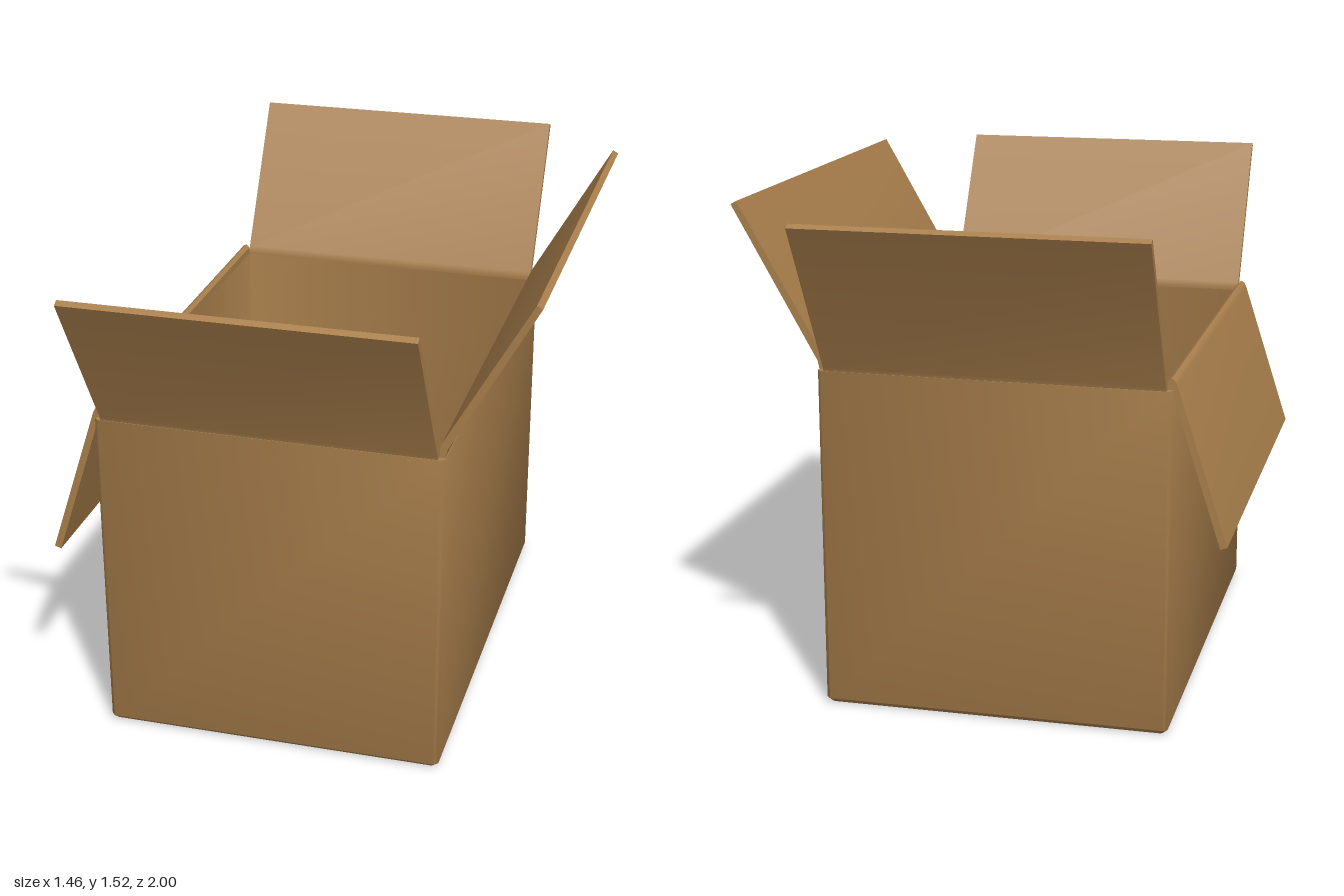
import * as THREE from 'three';
import { toCreasedNormals } from 'three/addons/utils/BufferGeometryUtils.js';

const CX = -0.05; // the carton sits a little off centre, as one side flap hangs down

// Rectangular loop with cut corners: half sizes, corner cut, height
function loop(hx, hz, c, y) {
  return [
    [hx, hz - c], [hx - c, hz], [-hx + c, hz], [-hx, hz - c],
    [-hx, -hz + c], [-hx + c, -hz], [hx - c, -hz], [hx, -hz + c],
  ].map(([x, z]) => [x, y, z]);
}

// Open shell from the underside, up the outside, over the rim and down to the inner floor
function shellGeometry() {
  const loops = [
    loop(0.51, 0.715, 0.006, 0),
    loop(0.525, 0.73, 0.012, 0.015),
    loop(0.525, 0.73, 0.012, 1.04),
    loop(0.505, 0.71, 0.002, 1.04),
    loop(0.505, 0.71, 0.002, 0.02),
  ];
  const n = 8;
  const index = [];
  for (let r = 0; r < loops.length - 1; r++) {
    for (let i = 0; i < n; i++) {
      const a = r * n + i, b = r * n + (i + 1) % n;
      index.push(a, a + n, b, b, a + n, b + n);
    }
  }
  // Underside and inner floor
  const top = (loops.length - 1) * n;
  for (let i = 1; i < n - 1; i++) {
    index.push(0, i, i + 1);
    index.push(top, top + i + 1, top + i);
  }
  const g = new THREE.BufferGeometry();
  g.setAttribute('position', new THREE.Float32BufferAttribute(loops.flat(2), 3));
  g.setIndex(index);
  return toCreasedNormals(g, 0.9);
}

// Flap: bent cardboard profile (distance outward, height) extruded along its hinge
function flapGeometry(profile, width, turn) {
  const shape = new THREE.Shape(profile.map(([x, y]) => new THREE.Vector2(x, y)));
  const g = new THREE.ExtrudeGeometry(shape, { depth: width, bevelEnabled: false });
  g.translate(0, 0, -width / 2);
  g.rotateY(turn);
  return toCreasedNormals(g, 0.7);
}

export function createModel() {
  const cardboard = new THREE.MeshStandardMaterial({ color: 0xa97f4c });
  cardboard.name = 'cardboard';

  const model = new THREE.Group();
  model.name = 'openCarton';
  const add = (name, geometry) => {
    const mesh = new THREE.Mesh(geometry, cardboard);
    mesh.name = name;
    mesh.position.x = CX;
    model.add(mesh);
  };

  add('cartonBody', shellGeometry());

  // Front and back flaps lean outward
  const endProfile = [
    [0.71, 1.04], [0.728, 1.04], [0.732, 1.052],
    [1.0, 1.505], [0.982, 1.515], [0.715, 1.065], [0.71, 1.05],
  ];
  add('frontFlap', flapGeometry(endProfile, 1.01, -Math.PI / 2));
  add('backFlap', flapGeometry(endProfile, 1.01, Math.PI / 2));

  // Left flap leans outward
  add('leftFlap', flapGeometry([
    [0.505, 1.04], [0.523, 1.04], [0.528, 1.065],
    [0.78, 1.515], [0.763, 1.525], [0.51, 1.08], [0.505, 1.06],
  ], 1.42, 0));

  // Right flap folds over and hangs down
  add('rightFlap', flapGeometry([
    [0.505, 1.04], [0.518, 1.035], [0.665, 0.58], [0.685, 0.587],
    [0.533, 1.055], [0.526, 1.068], [0.516, 1.073], [0.505, 1.064],
  ], 1.42, Math.PI));

  return model;
}
